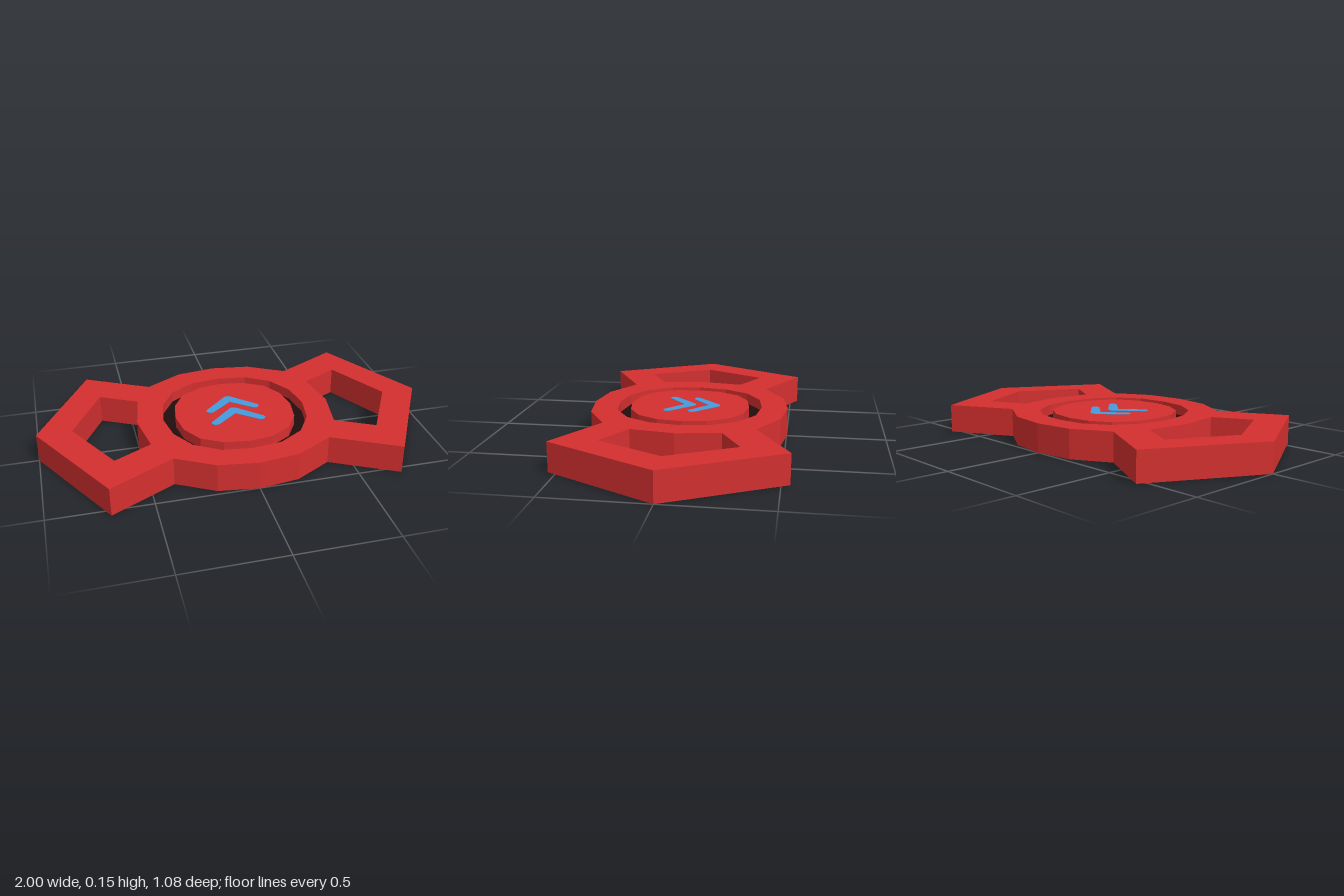
import * as THREE from 'three';

const HEIGHT = 0.145, FLOOR = 0.088;

// Mirrors a quarter outline (from +x axis round to +y axis) into a closed loop
function fourWay(q) {
  const half = [...q, ...q.slice(0, -1).reverse().map(([x, y]) => [-x, y])];
  const lower = half.slice(1, -1).reverse().map(([x, y]) => [x, -y]);
  return [...half, ...lower].map(([x, y]) => new THREE.Vector2(x, y));
}

// Extrudes a plan shape upwards from y0 to y1
function slab(name, shape, y0, y1, material) {
  const geometry = new THREE.ExtrudeGeometry(shape, { depth: y1 - y0, bevelEnabled: false });
  geometry.rotateX(-Math.PI / 2).translate(0, y0, 0);
  const mesh = new THREE.Mesh(geometry, material);
  mesh.name = name;
  return mesh;
}

export function createModel() {
  const red = new THREE.MeshStandardMaterial({ color: 0xd32f2f });
  red.name = 'red';
  const dark = new THREE.MeshStandardMaterial({ color: 0x210d0d });
  dark.name = 'dark groove';
  const blue = new THREE.MeshStandardMaterial({ color: 0x449bdb });
  blue.name = 'blue';

  const group = new THREE.Group();
  group.name = 'badge';

  // Plan outlines
  const outline = fourWay([[1, 0], [0.705, 0.54], [0.385, 0.368], [0.2, 0.474], [0, 0.502]]);
  const grooveOuter = fourWay([[0.37, 0], [0.345, 0.15], [0.272, 0.272], [0.15, 0.35], [0, 0.37]]);
  const grooveInner = fourWay([[0.305, 0], [0.287, 0.123], [0.226, 0.226], [0.123, 0.287], [0, 0.305]]);

  const bodyShape = () => {
    const shape = new THREE.Shape(outline);
    for (const s of [1, -1]) {
      const hole = [[0.825, 0], [0.655, 0.318], [0.467, 0.218], [0.502, 0], [0.467, -0.218], [0.655, -0.318]];
      shape.holes.push(new THREE.Path(hole.map(([x, y]) => new THREE.Vector2(s * x, y))));
    }
    return shape;
  };

  // Lower body, then the upper rim opened for the groove
  group.add(slab('lowerBody', bodyShape(), 0, FLOOR, red));
  const rim = bodyShape();
  rim.holes.push(new THREE.Path(grooveOuter));
  group.add(slab('upperRim', rim, FLOOR, HEIGHT, red));

  // Central disc standing inside the groove
  group.add(slab('centreDisc', new THREE.Shape(grooveInner), FLOOR, HEIGHT, red));

  // Dark groove floor
  const ring = new THREE.Shape(grooveOuter);
  ring.holes.push(new THREE.Path(grooveInner));
  group.add(slab('grooveFloor', ring, FLOOR, FLOOR + 0.003, dark));

  // Two arrow marks on the disc, pointing to the back
  [0.155, 0.03].forEach((apex, i) => {
    const right = [[0.135, -0.118], [0.14, -0.136], [0.126, -0.15], [0.105, -0.147], [0, -0.06]];
    const left = right.slice(0, -1).reverse().map(([x, y]) => [-x, y]);
    const points = [[0.012, 0], ...right, ...left, [-0.012, 0]];
    const shape = new THREE.Shape(points.map(([x, y]) => new THREE.Vector2(x, y + apex)));
    group.add(slab(i ? 'frontChevron' : 'backChevron', shape, HEIGHT, HEIGHT + 0.002, blue));
  });

  return group;
}
